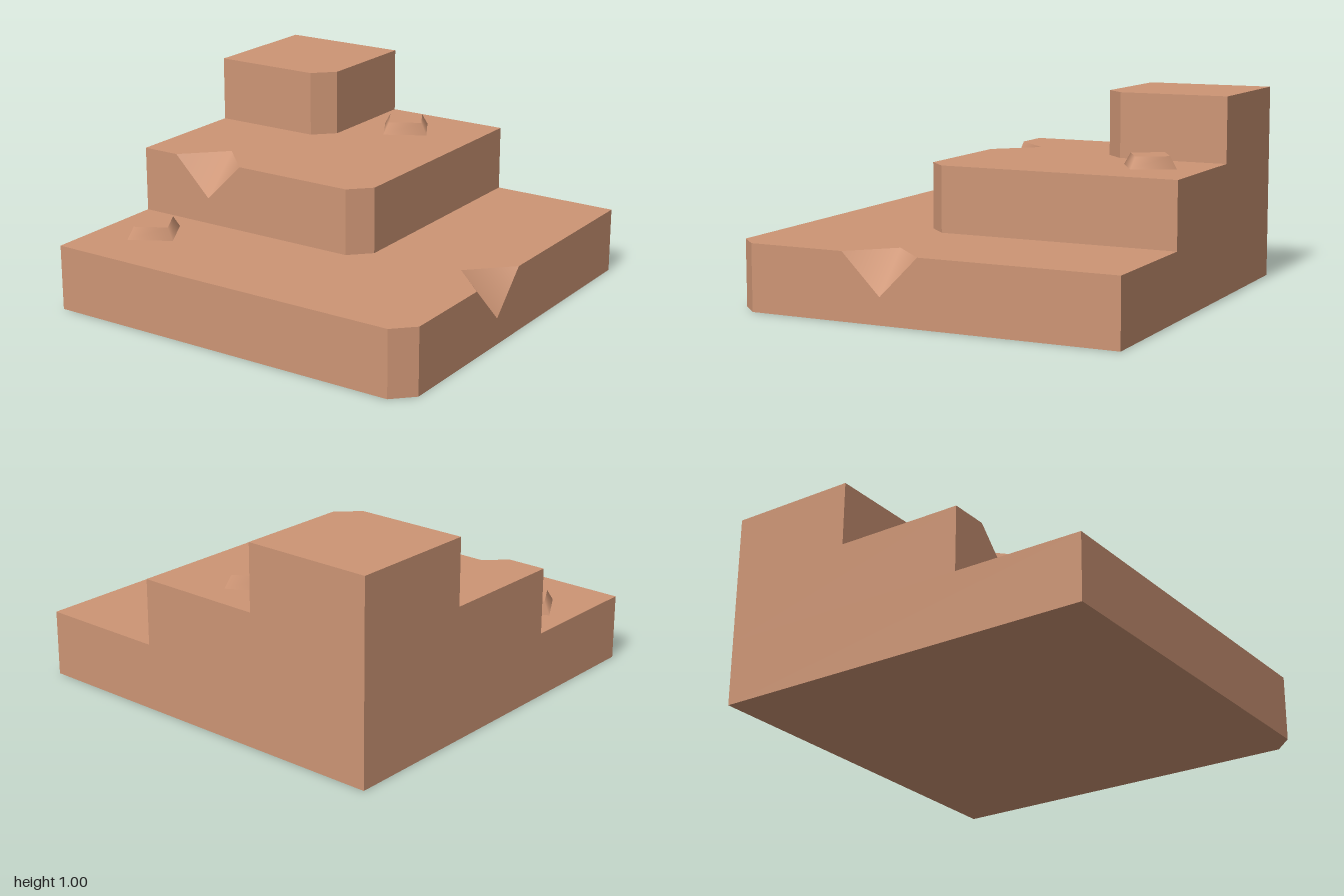
import * as THREE from 'three';
import { mergeGeometries } from 'three/addons/utils/BufferGeometryUtils.js';

const STEP = 1 / 3; // height of each tier
const CHAMFER = 0.1; // cut on the outer corner
const CHIP = 0.2; // reach of a chipped notch along each axis

const flat = (points) =>
  new THREE.ShapeGeometry(new THREE.Shape(points.map(([x, y]) => new THREE.Vector2(x, y))));

// One tier: square footprint from the (-1, -1) corner to (edge, edge), outer corner chamfered.
// chip = { side: index of the outline edge, at: distance along it from its end }
function makeTier(name, edge, level, chip, material) {
  const group = new THREE.Group();
  group.name = name;
  const y0 = level * STEP;
  const outline = [[-1, -1], [edge, -1], [edge, edge - CHAMFER], [edge - CHAMFER, edge], [-1, edge]];
  const topOutline = [];
  const panels = [];

  outline.forEach((a, i) => {
    const b = outline[(i + 1) % outline.length];
    const start = new THREE.Vector3(a[0], y0, a[1]);
    const end = new THREE.Vector3(b[0], y0, b[1]);
    const length = start.distanceTo(end);
    const along = start.clone().sub(end).normalize();
    const up = new THREE.Vector3(0, 1, 0);
    const out = along.clone().cross(up);
    const frame = new THREE.Matrix4().makeBasis(along, up, out).setPosition(end);

    const wall = [[0, 0], [length, 0], [length, STEP]];
    topOutline.push(a);
    if (chip && chip.side === i) {
      const m = chip.at;
      wall.push([m + CHIP, STEP], [m, STEP - CHIP], [m - CHIP, STEP]);
      // the two sloping faces of the notch, smooth across their shared edge
      const corners = [[m - CHIP, STEP, 0], [m, STEP - CHIP, 0], [m, STEP, -CHIP], [m + CHIP, STEP, 0]]
        .map((p) => new THREE.Vector3(...p).applyMatrix4(frame));
      const notchGeo = new THREE.BufferGeometry().setFromPoints(corners);
      notchGeo.setIndex([0, 1, 2, 3, 2, 1]);
      notchGeo.computeVertexNormals();
      const notch = new THREE.Mesh(notchGeo, material);
      notch.name = 'chippedNotch';
      group.add(notch);
      for (const k of [3, 2, 0]) topOutline.push([corners[k].x, corners[k].z]);
    }
    wall.push([0, STEP]);
    panels.push(flat(wall).applyMatrix4(frame));
  });

  // top and, for the lowest tier, the underside
  panels.push(flat(topOutline.map(([x, z]) => [x, -z])).rotateX(-Math.PI / 2).translate(0, y0 + STEP, 0));
  if (level === 0) panels.push(flat(outline).rotateX(Math.PI / 2));

  const body = new THREE.Mesh(mergeGeometries(panels), material);
  body.name = name + 'Body';
  group.add(body);
  return group;
}

export function createModel() {
  const model = new THREE.Group();
  model.name = 'steppedCornerBlock';
  const clay = new THREE.MeshStandardMaterial({ color: 0xcd9575 });
  clay.name = 'clay';

  // stepped tiers
  model.add(
    makeTier('lowerTier', 1, 0, { side: 1, at: 0.7 }, clay),
    makeTier('middleTier', STEP, 1, { side: 3, at: 0.4 }, clay),
    makeTier('upperTier', -STEP, 2, null, clay),
  );

  // small four-sided stones lying on the steps
  const stoneGeo = new THREE.CylinderGeometry(0.12, 0.16, 0.06, 4);
  [[-0.74, 1, 0.6], [-0.075, 2, -0.7]].forEach(([x, level, z]) => {
    const stone = new THREE.Mesh(stoneGeo, clay);
    stone.name = 'stone';
    stone.position.set(x, level * STEP + 0.03, z);
    stone.rotation.y = -Math.PI / 12;
    model.add(stone);
  });
  return model;
}
